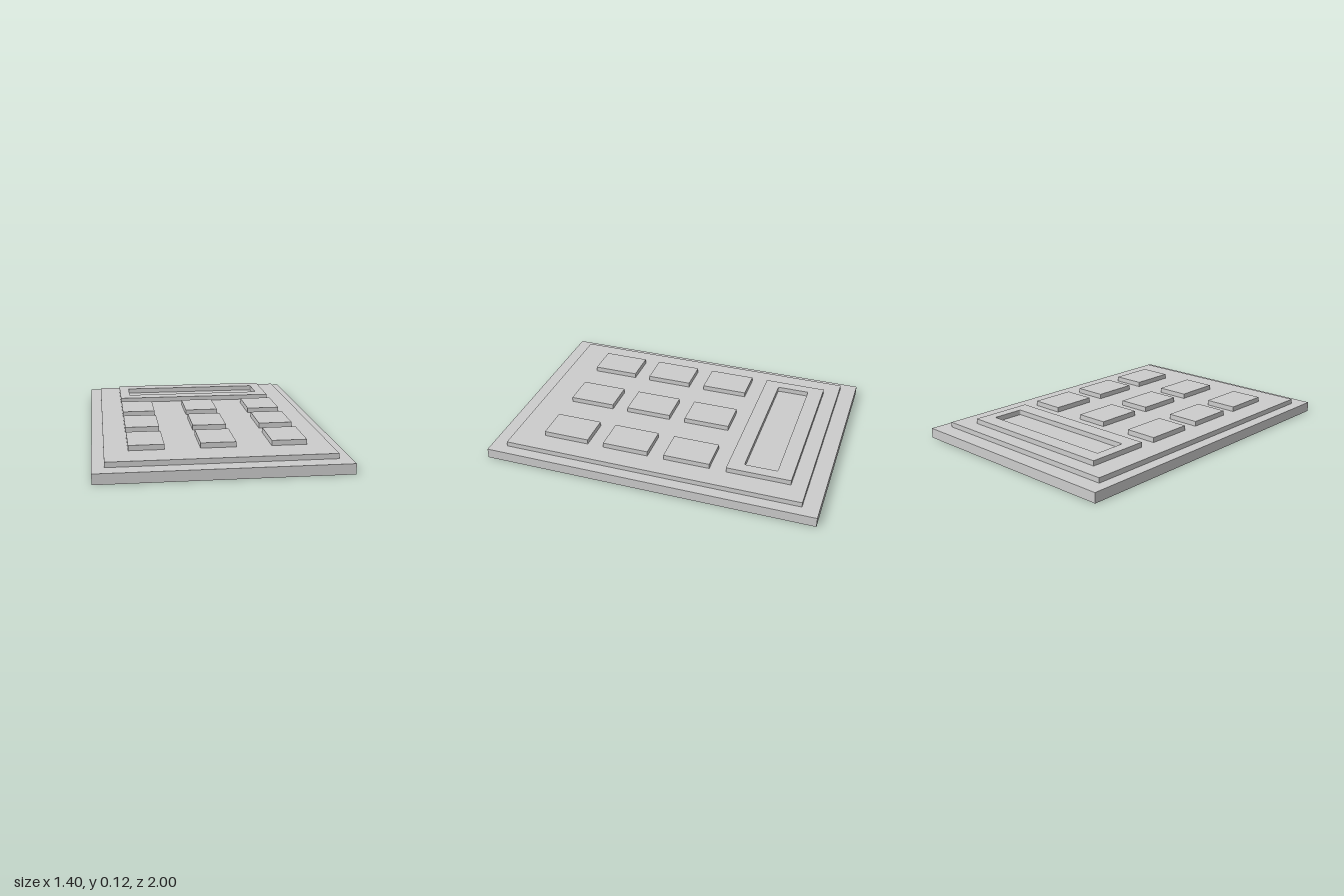
import * as THREE from 'three';

const material = new THREE.MeshStandardMaterial({ color: 0xcccccc });
const baseTop = 0.06, plateTop = 0.09, top = 0.12;

function slab(name, width, depth, y0, y1, x = 0, z = 0) {
  const mesh = new THREE.Mesh(new THREE.BoxGeometry(width, y1 - y0, depth), material);
  mesh.name = name;
  mesh.position.set(x, (y0 + y1) / 2, z);
  return mesh;
}

// Rectangle with tiny corner arcs, centred on the origin
function roundedRect(path, w, h, r) {
  const x = w / 2 - r, y = h / 2 - r;
  path.absarc(x, y, r, 0, Math.PI / 2);
  path.absarc(-x, y, r, Math.PI / 2, Math.PI);
  path.absarc(-x, -y, r, Math.PI, Math.PI * 1.5);
  path.absarc(x, -y, r, Math.PI * 1.5, Math.PI * 2);
  path.closePath();
  return path;
}

// Raised surround with a window that shows the face plate
function displayFrame() {
  const shape = new THREE.Shape([
    new THREE.Vector2(-0.5, -0.19), new THREE.Vector2(0.5, -0.19),
    new THREE.Vector2(0.5, 0.19), new THREE.Vector2(-0.5, 0.19),
  ]);
  shape.holes.push(roundedRect(new THREE.Path(), 0.874, 0.195, 0.008));
  const geometry = new THREE.ExtrudeGeometry(shape, {
    depth: top - plateTop, bevelEnabled: false, curveSegments: 4,
  });
  geometry.rotateX(-Math.PI / 2);
  const mesh = new THREE.Mesh(geometry, material);
  mesh.name = 'displayFrame';
  mesh.position.set(0, plateTop, -0.62);
  return mesh;
}

export function createModel() {
  const model = new THREE.Group();
  model.name = 'keypad';

  // Stepped body
  model.add(slab('base', 1.4, 2, 0, baseTop));
  model.add(slab('facePlate', 1.265, 1.804, baseTop, plateTop));
  model.add(displayFrame());

  // Three rows of three keys
  const keys = new THREE.Group();
  keys.name = 'keys';
  for (const z of [-0.19, 0.19, 0.57]) {
    for (const x of [-0.4, 0, 0.4]) keys.add(slab('key', 0.2, 0.28, plateTop, top, x, z));
  }
  model.add(keys);
  return model;
}
